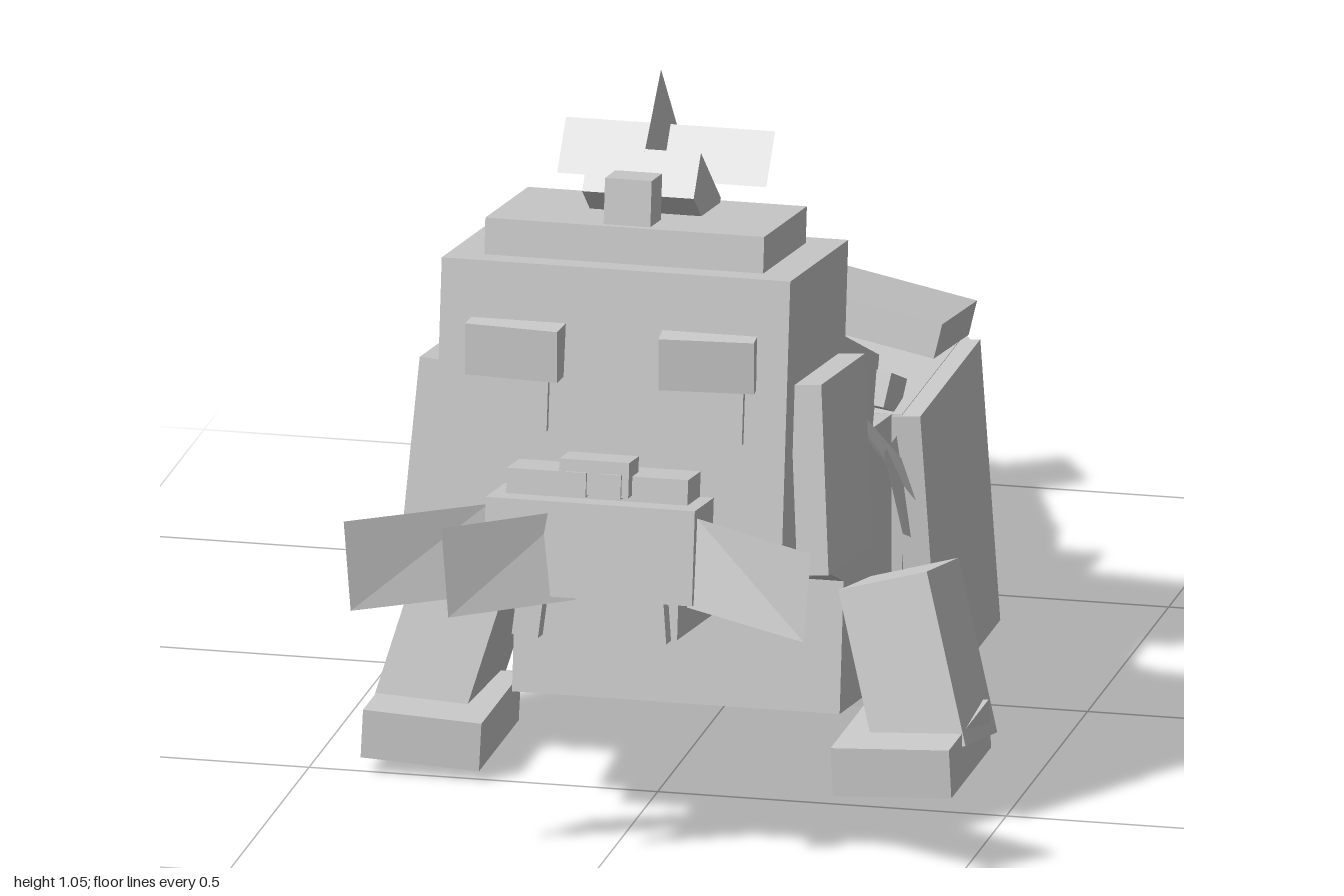
import * as THREE from 'three';

export function createModel() {
  const model = new THREE.Group();
  model.name = 'seaCreature';
  const grey = new THREE.MeshStandardMaterial({ color: 0xcccccc, side: THREE.DoubleSide });
  grey.name = 'plain grey';

  const add = (parent, name, geometry) => {
    const mesh = new THREE.Mesh(geometry, grey);
    mesh.name = name;
    parent.add(mesh);
    return mesh;
  };
  // box by size, centre and rotation
  const box = (parent, name, size, pos, rot = [0, 0, 0]) => {
    const mesh = add(parent, name, new THREE.BoxGeometry(...size));
    mesh.position.set(...pos);
    mesh.rotation.set(...rot);
    return mesh;
  };
  // the same box on both sides
  const pair = (parent, name, size, [x, y, z], [rx, ry, rz] = [0, 0, 0]) => {
    box(parent, name + 'Left', size, [x, y, z], [rx, ry, rz]);
    box(parent, name + 'Right', size, [-x, y, z], [rx, -ry, -rz]);
  };
  // thin four-cornered sheet
  const sheet = (parent, name, a, b, c, d) => {
    const g = new THREE.BufferGeometry();
    g.setAttribute('position', new THREE.Float32BufferAttribute([a, b, c, a, c, d].flat(), 3));
    g.computeVertexNormals();
    return add(parent, name, g);
  };

  // body
  box(model, 'body', [0.5, 0.41, 0.36], [0, 0.235, -0.11]);
  box(model, 'bellyPlate', [0.5, 0.04, 0.3], [0, 0.022, -0.1]);
  pair(model, 'sidePanel', [0.04, 0.41, 0.37], [0.272, 0.235, -0.11], [0, 0, 0.07]);
  box(model, 'chest', [0.47, 0.38, 0.33], [0, 0.265, 0.2], [-0.13, 0, 0]);
  box(model, 'neck', [0.47, 0.33, 0.36], [0, 0.47, 0.375], [-0.41, 0, 0]);

  // plates along the back
  pair(model, 'backPlate', [0.275, 0.05, 0.28], [0.143, 0.53, -0.14], [-0.18, 0.05, -0.2]);
  pair(model, 'shoulderPlate', [0.24, 0.05, 0.19], [0.125, 0.495, 0.085], [-0.35, 0.1, -0.15]);
  box(model, 'napePlate', [0.24, 0.09, 0.13], [0, 0.55, 0.16], [-0.65, 0, 0]);
  for (const s of [1, -1]) {
    sheet(model, 'shoulderFin', [s * 0.14, 0.6, 0.25], [s * 0.14, 0.52, 0.15],
      [s * 0.31, 0.37, 0.24], [s * 0.31, 0.46, 0.33]);
    sheet(model, 'neckSpike', [s * 0.28, 0.46, 0.31], [s * 0.28, 0.46, 0.23],
      [s * 0.305, 0.32, 0.25], [s * 0.305, 0.34, 0.3]);
  }

  // front flippers
  pair(model, 'flipperArm', [0.13, 0.25, 0.2], [0.33, 0.16, 0.315], [-0.2, 0, 0.27]);
  pair(model, 'flipperFoot', [0.17, 0.07, 0.245], [0.337, 0.056, 0.388], [0, 0, 0.05]);

  // tail
  box(model, 'tailBase', [0.37, 0.27, 0.25], [0, 0.185, -0.395], [0.05, 0, 0]);
  pair(model, 'tailPanel', [0.02, 0.19, 0.22], [0.2, 0.14, -0.41], [0, 0, 0.08]);
  box(model, 'tailMiddle', [0.23, 0.19, 0.18], [0, 0.185, -0.57], [0.22, 0, 0]);
  box(model, 'tailKnob', [0.17, 0.08, 0.165], [0, 0.335, -0.51], [-0.32, 0, 0]);
  sheet(model, 'tailCrest', [0, 0.38, -0.46], [0, 0.4, -0.43], [0, 0.35, -0.6], [0, 0.29, -0.58]);

  // tail fin
  const outline = new THREE.Shape([[-0.12, 0.64], [0.12, 0.64], [0.155, 0.675], [0.075, 0.89],
    [0.03, 0.94], [-0.03, 0.94], [-0.075, 0.89], [-0.155, 0.675]].map(([x, y]) => new THREE.Vector2(x, y)));
  const fin = add(model, 'tailFin', new THREE.ExtrudeGeometry(outline, { depth: 0.06, bevelEnabled: false }));
  fin.rotation.x = -Math.PI / 2;
  fin.position.y = 0.155;
  pair(model, 'tailFluke', [0.095, 0.07, 0.11], [0.067, 0.197, -0.925], [0.05, 0.56, 0]);

  // head, nodding slightly
  const head = new THREE.Group();
  head.name = 'head';
  head.position.set(0, 0.598, 0.608);
  head.rotation.x = -0.134;
  model.add(head);
  box(head, 'skull', [0.5, 0.45, 0.36], [0, 0, 0]);
  box(head, 'crownPlate', [0.4, 0.06, 0.265], [0, 0.247, 0]);
  pair(head, 'cheekFlap', [0.045, 0.27, 0.27], [0.275, -0.063, -0.003], [0, 0, 0.07]);
  pair(head, 'brow', [0.135, 0.075, 0.05], [0.138, 0.105, 0.185], [0.15, 0.08, 0]);
  pair(head, 'eye', [0.1, 0.085, 0.02], [0.14, 0.033, 0.18]);
  box(head, 'snout', [0.3, 0.135, 0.13], [0, -0.156, 0.233]);
  box(head, 'snoutRidge', [0.26, 0.045, 0.085], [0, -0.075, 0.215]);
  box(head, 'nose', [0.1, 0.05, 0.06], [0, -0.055, 0.25]);
  pair(head, 'nostril', [0.03, 0.035, 0.02], [0.025, -0.065, 0.275]);
  box(head, 'jaw', [0.23, 0.08, 0.3], [0, -0.245, 0.08]);
  pair(head, 'tooth', [0.038, 0.08, 0.03], [0.088, -0.245, 0.265], [0, 0, 0.1]);

  // whisker sheets
  for (const [x0, x1] of [[0.15, 0.335], [-0.15, -0.335], [-0.03, -0.195]]) {
    const lean = Math.sign(x1) * 0.01;
    sheet(model, 'whisker', [x0, 0.535, 0.9], [x1, 0.525, 0.995],
      [x1 - lean, 0.395, 0.995], [x0 - lean, 0.41, 0.92]);
  }

  // topknot: leaning block with crossed sheets
  box(model, 'topknotFront', [0.067, 0.075, 0.065], [0, 0.912, 0.653], [-0.13, 0, 0]);
  box(model, 'topknotBlock', [0.16, 0.07, 0.16], [0, 0.888, 0.538], [-0.7, 0, 0]);
  sheet(model, 'topknotFin', [0, 0.963, 0.58], [0, 1.053, 0.479], [0, 0.93, 0.37], [0, 0.85, 0.46]);
  sheet(model, 'topknotCross', [-0.15, 0.89, 0.475], [0.15, 0.89, 0.475],
    [0.15, 0.955, 0.42], [-0.15, 0.955, 0.42]);

  return model;
}
